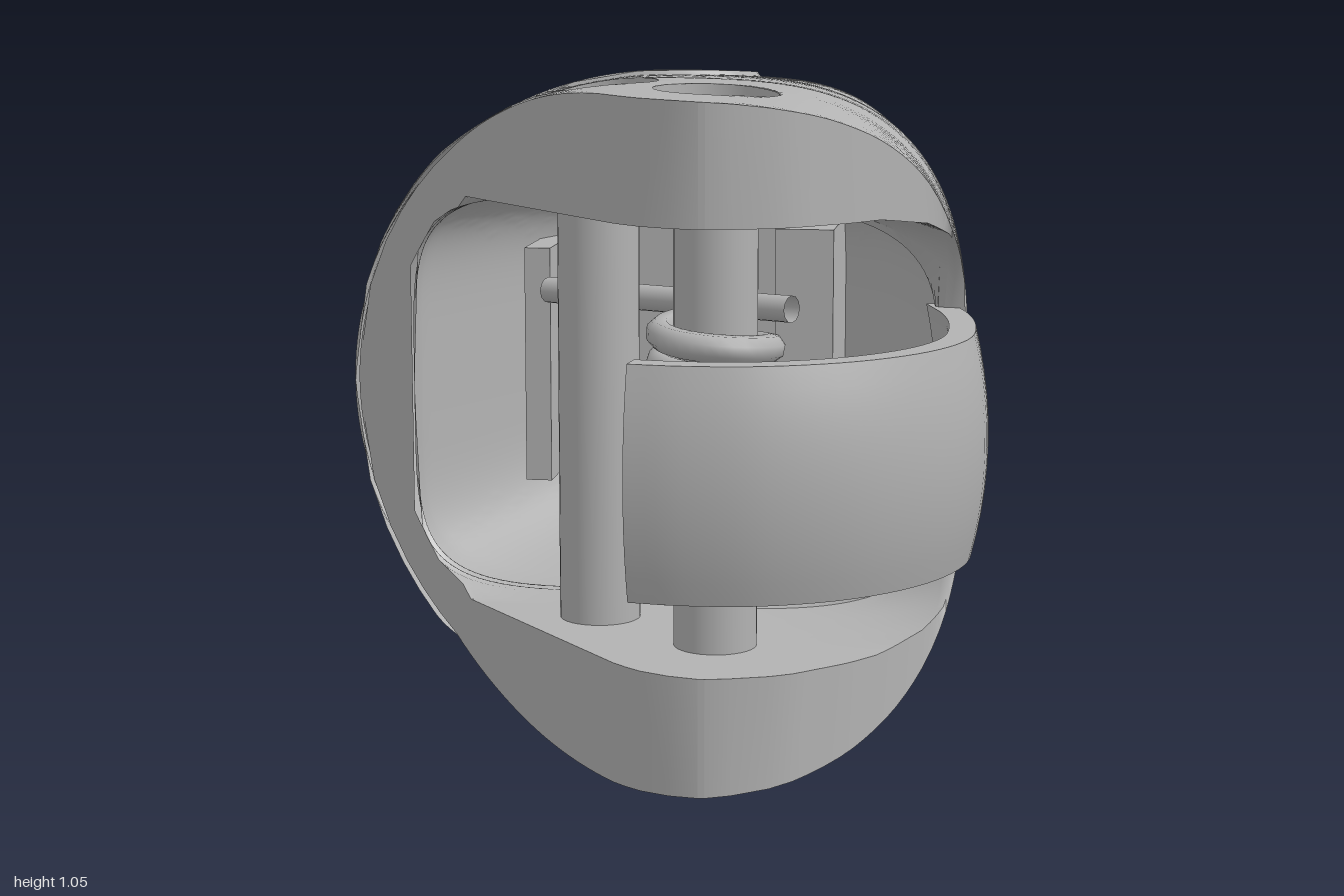
import * as THREE from 'three';
import { mergeGeometries, toCreasedNormals } from 'three/addons/utils/BufferGeometryUtils.js';

const MID = 0.525, EAR = 0.33, N = 64;      // mid height, half gap between the ears, points per section
const PIVOTS = [[-0.077, 0.43], [0.128, 0.573]], PIVOT_R = 0.095;
const SCREW = { z: -0.3, h: 0.33, r: 0.055 };
const grey = new THREE.MeshStandardMaterial({ color: 0xb2b2b2, side: THREE.DoubleSide });
grey.name = 'plain grey';

// Interpolation through [z, value] pairs: straight, or smooth without overshoot
function curve(pts, smooth = true) {
  const d = pts.slice(1).map((p, i) => (p[1] - pts[i][1]) / (p[0] - pts[i][0]));
  const m = pts.map((p, i) => i === 0 ? d[0] : i === pts.length - 1 ? d[i - 1]
    : d[i - 1] * d[i] <= 0 ? 0 : 2 * d[i - 1] * d[i] / (d[i - 1] + d[i]));
  return z => {
    if (z <= pts[0][0]) return pts[0][1];
    if (z >= pts[pts.length - 1][0]) return pts[pts.length - 1][1];
    const i = pts.findIndex(p => p[0] > z) - 1, w = pts[i + 1][0] - pts[i][0], t = (z - pts[i][0]) / w;
    if (!smooth) return pts[i][1] + d[i] * (z - pts[i][0]);
    const a = t * t * (3 - 2 * t);
    return pts[i][1] * (1 - a) + pts[i + 1][1] * a + w * t * (1 - t) * (m[i] * (1 - t) - m[i + 1] * t);
  };
}
const left = curve([[-1, 0], [-0.99, -0.06], [-0.96, -0.12], [-0.91, -0.19], [-0.83, -0.275], [-0.74, -0.352],
  [-0.65, -0.413], [-0.55, -0.462], [-0.44, -0.5], [-0.25, -0.528], [0, -0.535], [0.2, -0.53]]);
const right = curve([[-1, 0], [-0.99, 0.05], [-0.95, 0.085], [-0.81, 0.138], [-0.61, 0.19], [-0.4, 0.245],
  [-0.24, 0.297], [-0.13, 0.35], [-0.04, 0.408], [0.15, 0.46], [0.35, 0.497], [0.5, 0.5]]);
const height = curve([[-1, 0], [-0.99, 0.08], [-0.97, 0.145], [-0.93, 0.21], [-0.8, 0.323], [-0.6, 0.412],
  [-0.4, 0.46], [-0.2, 0.487], [0, 0.505], [0.3, 0.521], [0.5, 0.521], [0.78, 0.513]]);
const centre = curve([[-1, 0], [-0.7, 0], [-0.35, 0.03], [-0.1, 0.03], [0.2, 0]]);
const leftPower = curve([[-1, 2.4], [-0.5, 2.3], [0.1, 2]]);
const rightPower = curve([[-1, 2.8], [-0.4, 4], [-0.1, 3.7], [0.2, 3.3]]);
const cavityLeft = curve([[-0.4, 0.2], [-0.1, 0.31], [0.2, 0.42]]);
const cavityHeight = curve([[-0.4, 0.26], [0, 0.315], [0.2, EAR]]);
// Plan limits: slanted front cut, rounded ear edge, side slot and cover seam
const cutLine = curve([[0.2, -0.535], [0.32, -0.34], [0.71, 0], [0.74, 0.04], [0.76, 0.085], [0.77, 0.13]], false);
const earLine = curve([[0.38, 0.5], [0.47, 0.46], [0.57, 0.4], [0.65, 0.34], [0.72, 0.265], [0.75, 0.215], [0.77, 0.14]], false);
const slotLine = curve([[0.341, 0], [0.36, 0.21], [0.38, 0.25], [0.42, 0.285], [0.5, 0.315], [0.6, EAR]], false);
const seamLine = curve([[-1, -0.06], [-0.5, 0.025], [0, 0.115], [0.09, 0.13], [0.15, 0.122], [0.2, 0.095],
  [0.24, 0.03], [0.26, -0.04], [0.32, -0.34]], false);
const cut = z => z < 0.199 ? -9 : cutLine(z);

// Half sections are superellipses with separate left and right halves
const outerSec = z => ({ z, c: centre(z), l: centre(z) - left(z) + 1e-5, r: right(z) - centre(z) + 1e-5,
  H: height(z) + 1e-5, pl: leftPower(z), pr: rightPower(z) });
const innerSec = z => ({ z, c: 0, l: cavityLeft(z), r: right(z) - 0.05, H: cavityHeight(z), pl: 5, pr: 6 });
function point(s, a) {
  const c = Math.cos(a), p = c < 0 ? s.pl : s.pr;
  return { x: s.c + (c < 0 ? -s.l : s.r) * Math.abs(c) ** (2 / p), h: s.H * Math.max(0, Math.sin(a)) ** (2 / p), z: s.z };
}
function angleAt(s, x) {
  const d = x - s.c;
  return d < 0 ? Math.acos(-Math.min(1, (-d / s.l) ** (s.pl / 2))) : Math.acos(Math.min(1, (d / s.r) ** (s.pr / 2)));
}
const arc = (s, a0, a1) => Array.from({ length: N + 1 }, (_, i) => point(s, a0 + (a1 - a0) * i / N));
const heightAt = (x, z) => { const s = outerSec(z); return point(s, angleAt(s, x)).h; };
const sideAt = (h, z) => { const s = outerSec(z); return s.c + s.r * (1 - (h / s.H) ** s.pr) ** (1 / s.pr); };

// Pull grid points that lie in a hole out to its rim and mark them
function punch(p) {
  const pull = (u, v, cu, cv, r) => {
    const d = Math.hypot(p[u] - cu, p[v] - cv);
    if (d >= r) return;
    p.hole = true;
    const k = r / Math.max(d, 1e-4);
    p[u] = cu + (p[u] - cu) * k; p[v] = cv + (p[v] - cv) * k;
  };
  if (p.h > 0.4) PIVOTS.forEach(([x, z]) => pull('x', 'z', x, z, PIVOT_R));
  if (p.x > 0.1) pull('h', 'z', SCREW.h, SCREW.z, SCREW.r);
  return p;
}
function outerRow(z) {
  const s = outerSec(z);
  const slot = Math.asin(Math.min(1, (slotLine(z) / s.H) ** (s.pr / 2)));
  return arc(s, angleAt(s, cut(z)), Math.max(slot, z < 0.38 ? 0 : angleAt(s, earLine(z))));
}
function innerRow(z) {
  if (z < 0.345) { const s = innerSec(z); return arc(s, angleAt(s, cut(z)), 0); }
  const o = outerRow(z), slot = slotLine(z), x0 = o[0].x, x1 = o[N].x - 0.04 * (1 - slot / EAR);
  return o.map((_, i) => ({ x: x0 + (x1 - x0) * i / N, h: slot + (EAR - slot) * (1 - (i / N) ** 8), z }));
}
// Inner edge of the flat rim left by the slanted cut
const rimPoint = z => z < 0.27 ? { x: -0.42, h: Math.max(0, 0.24 * (z - 0.2) / 0.07), z: 0.27 } : innerRow(z)[0];
// Grid of half-section points turned into a surface above (1) or below (-1) the middle
function skin(rows, side, flip = false) {
  const pos = [], idx = [], w = rows[0].length;
  rows.forEach(r => r.forEach(p => pos.push(p.x, MID + side * p.h, p.z)));
  for (let j = 0; j < rows.length - 1; j++) for (let i = 0; i < w - 1; i++) {
    if ([rows[j][i], rows[j][i + 1], rows[j + 1][i], rows[j + 1][i + 1]].every(p => p.hole)) continue;
    const a = j * w + i, b = a + 1, c = a + w, d = c + 1;
    if ((side > 0) !== flip) idx.push(a, c, b, b, c, d); else idx.push(a, b, c, b, d, c);
  }
  const g = new THREE.BufferGeometry();
  g.setAttribute('position', new THREE.Float32BufferAttribute(pos, 3));
  g.setIndex(idx);
  return g;
}

export function createModel() {
  const model = new THREE.Group();
  const add = (name, geo, x = 0, y = 0, z = 0) => {
    const m = new THREE.Mesh(geo, grey);
    m.name = name; m.position.set(x, y, z); model.add(m);
    return m;
  };
  const zs = [];
  for (let i = 0; i < 12; i++) zs.push(-1 + 0.2 * (i / 12) ** 2);
  for (let k = 0; k <= 78; k++) zs.push(-0.8 + 0.02 * k);
  zs.push(0.77);

  // Housing with its cavity, front rim, side slots and two ears
  const outer = zs.map(outerRow), front = zs.filter(z => z > -0.41), inner = front.map(innerRow);
  const rim = front.filter(z => z > 0.19).map(z => [outerRow(z)[0], rimPoint(z)]);
  const slot = front.filter(z => z > 0.33).map(z => [outerRow(z)[N], innerRow(z)[N]]);
  const parts = [];
  for (const s of [1, -1]) parts.push(
    skin(outer.map(r => r.map(p => punch({ ...p }))), s),
    skin(inner, s, true),
    skin(rim, s, true),
    skin(slot, s),
    skin([outer[outer.length - 1], inner[inner.length - 1]], s),
    skin([inner[0].map(p => ({ ...p, h: 0 })), inner[0]], s, true));
  add('housing', toCreasedNormals(mergeGeometries(parts), 0.6));

  // Raised grip cover with shallow finger ripples and a stepped edge
  const coverRows = zs.filter(z => z > -0.99 && z < 0.319).map(z => {
    const s = outerSec(z), big = { ...s, l: s.l + 0.007, H: s.H + 0.007 };
    const grip = THREE.MathUtils.smoothstep(z, -0.5, -0.1);
    const row = arc(big, angleAt(big, cut(z) - 0.007), angleAt(s, seamLine(z)));
    row.forEach((p, i) => {
      const t = i / N;
      p.x -= 0.003 * grip * Math.sin(Math.PI * Math.min(1, t * 1.4)) * (1 + Math.sin(z * 48 + t * 5));
    });
    return [...row, point(s, angleAt(s, seamLine(z) + 0.005))];
  });
  add('gripCover', toCreasedNormals(mergeGeometries([skin(coverRows, 1), skin(coverRows, -1)]), 0.6));

  // Cross-head screws sunk in the ears and in the flat side
  const cross = (name, r, x, y, z, alongX) => {
    for (const turn of [0, Math.PI / 2]) {
      const bar = new THREE.BoxGeometry(r * 1.1, 0.024, r * 0.28).rotateY(turn + 0.2);
      if (alongX) bar.rotateZ(Math.PI / 2);
      add(name, bar, x, y, z);
    }
  };
  const wall = (r, place) => {
    const g = new THREE.CylinderGeometry(r, r, 1, 36, 1, true), p = g.attributes.position;
    for (let i = 0; i < p.count; i++) p.setXYZ(i, ...place(p.getX(i), p.getY(i) > 0, p.getZ(i)));
    g.computeVertexNormals();
    return g;
  };
  for (const s of [1, -1]) {
    for (const [cx, cz] of PIVOTS) {
      add('pivotHole', wall(PIVOT_R, (x, top, z) =>
        [cx + x, MID + s * (top ? heightAt(cx + x, cz + z) : 0.43), cz + z]));
      add('pivotHead', new THREE.CylinderGeometry(PIVOT_R - 0.004, PIVOT_R - 0.004, 0.03, 36), cx, MID + s * 0.44, cz);
      cross('pivotCross', PIVOT_R, cx, MID + s * 0.455, cz, false);
    }
    const { z: sz, h: sh, r } = SCREW;
    add('screwHole', wall(r, (x, top, z) =>
      [top ? sideAt(sh + x, sz + z) : 0.18, MID + s * (sh + x), sz + z]));
    add('screwHead', new THREE.CylinderGeometry(r - 0.002, r - 0.002, 0.03, 28).rotateZ(Math.PI / 2), 0.195, MID + s * sh, sz);
    cross('screwCross', r, 0.21, MID + s * sh, sz, true);
  }

  // Two pivot pins between the ears
  for (const [x, z] of PIVOTS) add('pivotPin', new THREE.CylinderGeometry(0.064, 0.064, 0.69, 32), x, MID, z);

  // Torsion spring on the second pin, with two legs
  const [px, pz] = PIVOTS[1], coil = [], turns = 7;
  for (let i = 0; i <= turns * 16; i++) {
    const a = i / 16 * Math.PI * 2;
    coil.push(new THREE.Vector3(px + 0.084 * Math.sin(a), 0.375 + 0.315 * i / (turns * 16), pz - 0.084 * Math.cos(a)));
  }
  add('springCoil', new THREE.TubeGeometry(new THREE.CatmullRomCurve3(coil), 224, 0.022, 8));
  const leg = (a, b) => add('springLeg', new THREE.TubeGeometry(
    new THREE.LineCurve3(new THREE.Vector3(...a), new THREE.Vector3(...b)), 1, 0.021, 12));
  leg([0.235, 0.705, 0.5], [-0.19, 0.695, 0.27]);
  leg([px, 0.375, pz - 0.084], [0.36, 0.385, 0.64]);

  // Curved lever, slightly domed across its width
  const path = new THREE.CatmullRomCurve3([[0.465, 0.3], [0.5, 0.42], [0.517, 0.55], [0.512, 0.68], [0.463, 0.8],
    [0.37, 0.9], [0.25, 0.96], [0.14, 0.974], [0.06, 0.967]].map(([x, z]) => new THREE.Vector3(x, z, 0)));
  const faces = [[], []];
  path.getPoints(40).forEach((p, i) => {
    const t = path.getTangent(i / 40);
    [1, -1].forEach((s, k) => faces[k].push(new THREE.Vector2(p.x + s * 0.021 * t.y, p.y - s * 0.021 * t.x)));
  });
  const lever = new THREE.ExtrudeGeometry(new THREE.Shape([...faces[0], ...faces[1].reverse()]),
    { depth: 0.335, steps: 10, bevelEnabled: false }).rotateX(Math.PI / 2).translate(0, 0.692, 0);
  const lp = lever.attributes.position;
  for (let i = 0; i < lp.count; i++) {
    const k = 1 - 0.05 * ((lp.getY(i) - MID) / 0.168) ** 2;
    lp.setX(i, 0.1 + (lp.getX(i) - 0.1) * k);
    lp.setZ(i, 0.5 + (lp.getZ(i) - 0.5) * k);
  }
  add('lever', toCreasedNormals(lever, 0.6));

  // Blocks on the cavity floor
  add('cavityRib', new THREE.BoxGeometry(0.045, 0.41, 0.3), -0.265, MID, -0.15);
  add('cavityPlate', new THREE.BoxGeometry(0.34, 0.49, 0.14), 0.01, MID, -0.33);
  add('cavityBlock', new THREE.BoxGeometry(0.1, 0.49, 0.24), 0.2, MID, -0.12);
  return model;
}
